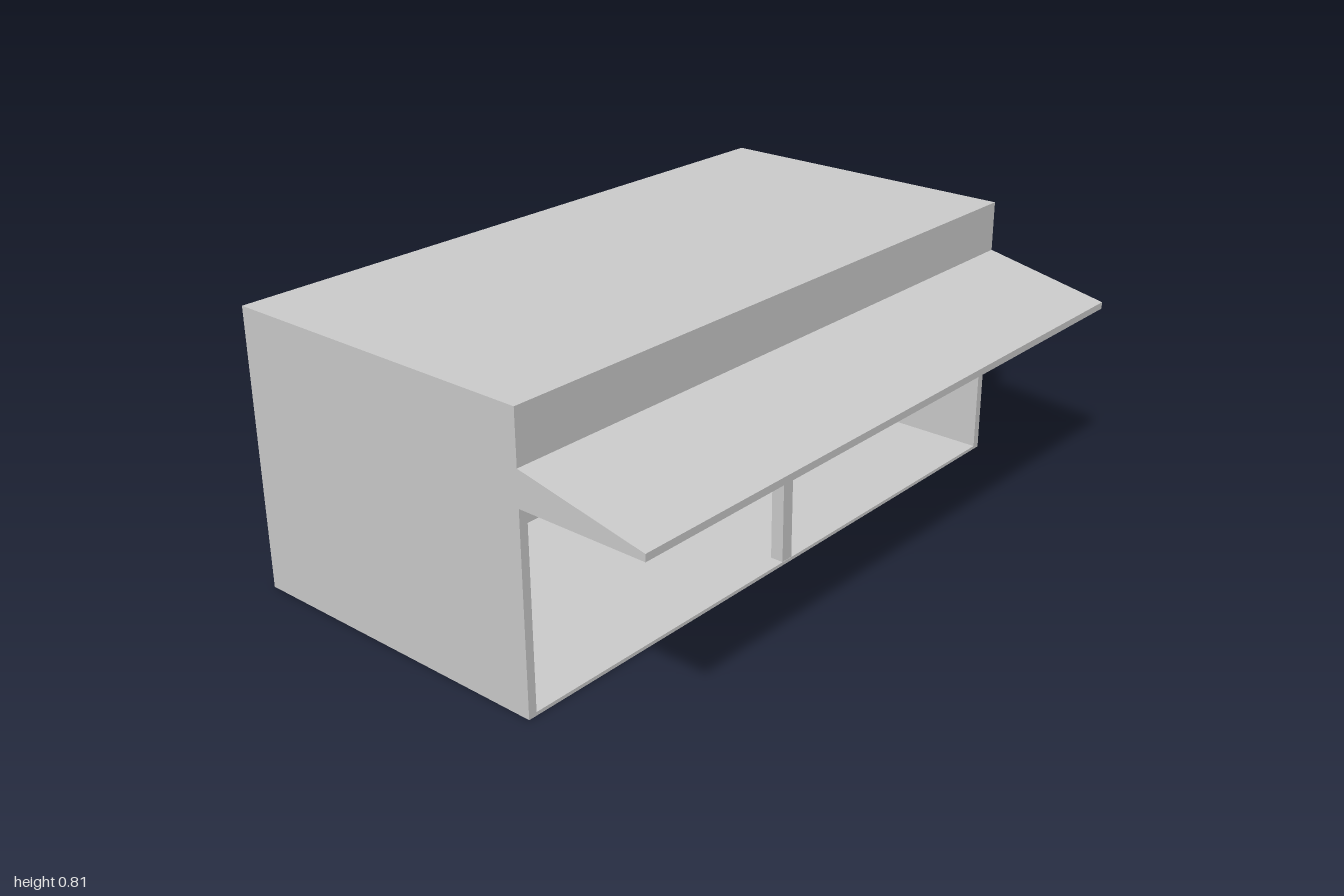
import * as THREE from 'three';

const grey = new THREE.MeshStandardMaterial({ color: 0xcccccc });

function addMesh(group, name, geometry) {
  const mesh = new THREE.Mesh(geometry, grey);
  mesh.name = name;
  group.add(mesh);
  return mesh;
}

// Extrudes a side profile of [z, y] points along x, centred on x = 0
function sideExtrusion(points, width) {
  const shape = new THREE.Shape(points.map(([z, y]) => new THREE.Vector2(z, y)));
  const geometry = new THREE.ExtrudeGeometry(shape, { depth: width, bevelEnabled: false });
  return geometry.rotateY(-Math.PI / 2).translate(width / 2, 0, 0);
}

export function createModel() {
  const group = new THREE.Group();
  group.name = 'garage';
  const front = 0.3, back = -0.68, height = 0.81, wall = 0.025;
  const sill = 0.01, lintel = 0.515, ceilingBack = 0.44;

  // Floor, back wall and roof in one run, with a ceiling that falls to the back
  addMesh(group, 'shell', sideExtrusion([
    [back, 0], [front, 0], [front, sill], [back + wall, sill],
    [back + wall, ceilingBack], [front, lintel], [front, height], [back, height],
  ], 2 - 2 * wall));

  // Side walls
  for (const side of [-1, 1]) {
    const name = side > 0 ? 'leftWall' : 'rightWall';
    const mesh = addMesh(group, name, new THREE.BoxGeometry(wall, height, front - back));
    mesh.position.set(side * (1 - wall / 2), height / 2, (front + back) / 2);
  }

  // Post between the two door openings
  const post = addMesh(group, 'centrePost', new THREE.BoxGeometry(0.04, lintel - sill, 0.04));
  post.position.set(0, (lintel + sill) / 2, front - 0.021);

  // Wedge canopy over the openings
  addMesh(group, 'canopy', sideExtrusion([
    [front, 0.56], [0.68, 0.56], [0.68, 0.58], [front, 0.66],
  ], 2));

  return group;
}
